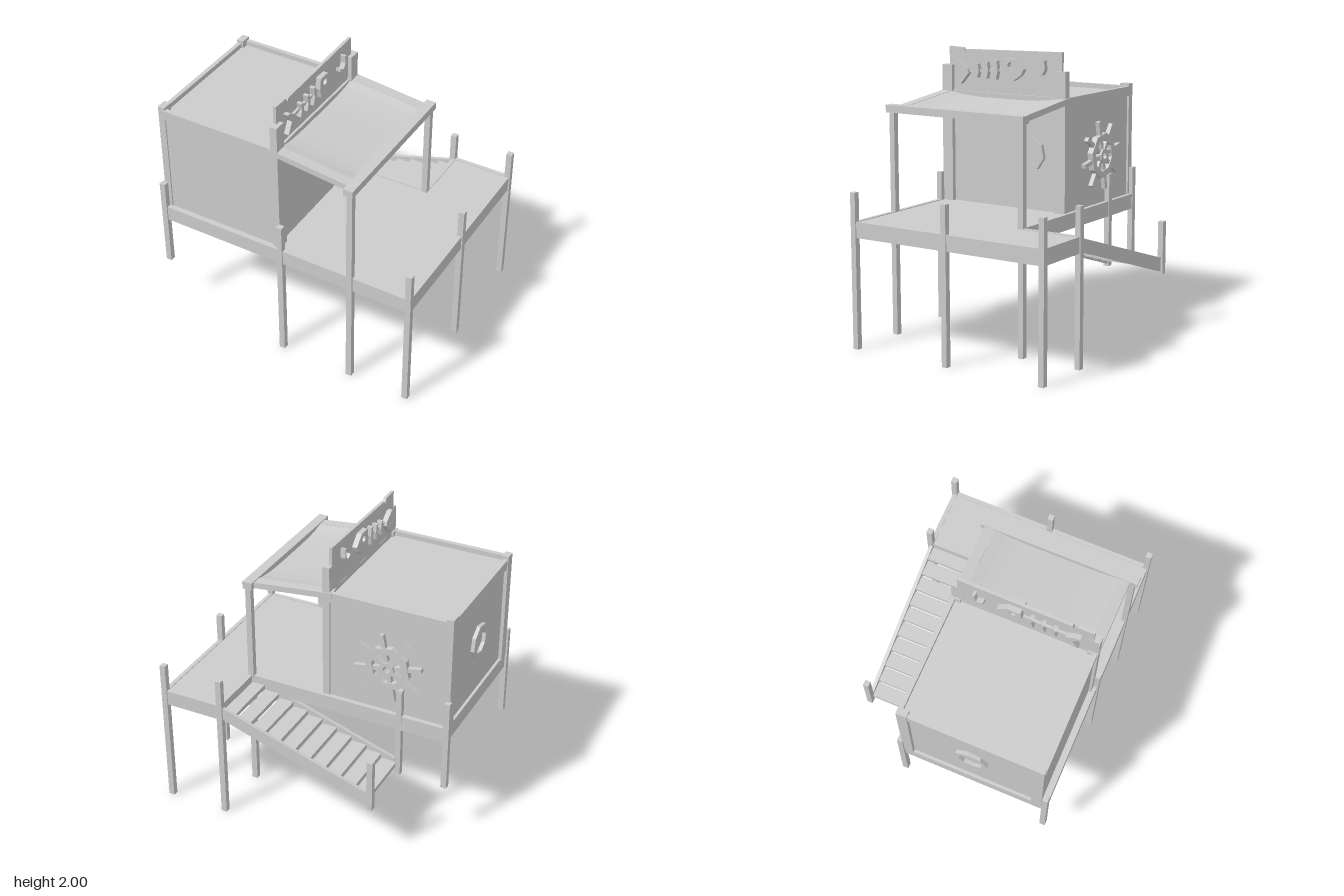
import * as THREE from 'three';

const material = new THREE.MeshStandardMaterial({ color: 0xcccccc, flatShading: true, side: THREE.DoubleSide });

export function createModel() {
  const root = new THREE.Group();

  function add(name, geometry, parent = root) {
    const mesh = new THREE.Mesh(geometry, material);
    mesh.name = name;
    parent.add(mesh);
    return mesh;
  }
  function group(name) {
    const g = new THREE.Group();
    g.name = name;
    root.add(g);
    return g;
  }
  // Box given by its limits on each axis
  function box(name, x0, x1, y0, y1, z0, z1, parent) {
    const m = add(name, new THREE.BoxGeometry(x1 - x0, y1 - y0, z1 - z0), parent);
    m.position.set((x0 + x1) / 2, (y0 + y1) / 2, (z0 + z1) / 2);
    return m;
  }
  const shapeOf = pts => new THREE.Shape(pts.map(p => new THREE.Vector2(p[0], p[1])));
  const polygon = (r, n, cx = 0, cy = 0, turn = 0.5) => Array.from({ length: n }, (_, i) => {
    const a = ((i + turn) / n) * Math.PI * 2;
    return [cx + r * Math.cos(a), cy + r * Math.sin(a)];
  });
  function extrude(shape, depth) {
    const g = new THREE.ExtrudeGeometry(shape, { depth, bevelEnabled: false });
    return g.translate(0, 0, -depth / 2);
  }
  // Turns an XY outline so that its x runs along z
  const sideways = g => g.rotateY(-Math.PI / 2);
  function ring(outer, inner, depth, turn) {
    const s = shapeOf(polygon(outer, 8, 0, 0, turn));
    s.holes.push(new THREE.Path(shapeOf(polygon(inner, 8, 0, 0, turn)).getPoints()));
    return extrude(s, depth);
  }

  // Deck: L-shaped floor with edge beams
  const deck = group('deck');
  box('mainFloor', -0.95, 0.95, 0.8, 0.885, -0.32, 0.74, deck);
  box('rearFloor', 0.53, 0.95, 0.8, 0.885, -0.76, -0.32, deck);
  const rims = [
    [-0.96, 0.96, 0.72, 0.75], [-0.965, -0.935, -0.33, 0.75], [0.935, 0.965, -0.77, 0.75],
    [-0.96, 0.54, -0.335, -0.305], [0.51, 0.54, -0.77, -0.32], [0.51, 0.96, -0.775, -0.745],
  ];
  for (const [x0, x1, z0, z1] of rims) box('edgeBeam', x0, x1, 0.78, 0.89, z0, z1, deck);

  // Posts: x, z, bottom, top
  const posts = group('posts');
  const postList = [
    [-0.96, 0.74, 0.41, 1.09], [-0.02, 0.74, 0, 1.09], [0.953, 0.74, 0, 1.09],
    [0.953, -0.01, 0, 1.09], [0.953, -0.762, 0, 1.09], [0.517, -0.762, 0, 1.09],
    [0.517, 0.74, 0, 1.6], [0.517, -0.32, 0, 1.6], [-0.96, -0.32, 0.41, 1.09],
    [-0.615, -0.762, 0.41, 0.79], [-0.615, -0.32, 0.41, 1.09],
  ];
  for (const [x, z, y0, y1] of postList) {
    box('post', x - 0.021, x + 0.021, y0, y1, z - 0.02, z + 0.02, posts);
  }

  // Stairs along the back, treads running from stringer to stringer
  const stairs = group('stairs');
  const slope = 0.324;
  for (const z of [-0.322, -0.757]) {
    const s = shapeOf([[-0.59, 0.43], [0.515, 0.788], [0.515, 0.88], [-0.59, 0.53]]);
    add('stringer', extrude(s, 0.025), stairs).position.z = z;
  }
  for (let i = 0; i < 10; i++) {
    const x = -0.55 + i * 0.113, y = 0.49 + slope * (x + 0.55);
    box('tread', x - 0.055, x + 0.055, y - 0.015, y + 0.015, -0.75, -0.325, stairs);
  }

  // Cabin: walls, corner posts, raised roof edge
  const cabin = group('cabin');
  box('walls', -0.945, -0.065, 0.885, 1.655, -0.295, 0.705, cabin);
  for (const z of [-0.27, 0.68]) {
    box('outerCornerPost', -0.97, -0.92, 0.88, 1.71, z - 0.04, z + 0.035, cabin);
    box('innerCornerPost', -0.085, -0.033, 0.88, 1.87, z - 0.04, z + 0.045, cabin);
  }
  box('frontRoofBeam', -0.95, -0.05, 1.62, 1.69, 0.685, 0.72, cabin);
  box('backRoofBeam', -0.95, -0.05, 1.62, 1.69, -0.31, -0.28, cabin);
  box('outerRoofBeam', -0.965, -0.935, 1.62, 1.69, -0.3, 0.7, cabin);
  box('innerRoofBeam', -0.085, -0.045, 1.62, 1.69, -0.3, 0.7, cabin);

  // Portholes on both side walls
  for (const [x, z] of [[-0.055, -0.01], [-0.953, 0.2]]) {
    add('porthole', sideways(ring(0.125, 0.088, 0.036, 0.25)), cabin).position.set(x, 1.285, z);
  }

  // Ship's wheel on the back wall
  const wheel = group('wheel');
  wheel.position.set(-0.52, 1.235, -0.315);
  wheel.rotation.z = -0.19;
  add('wheelRim', ring(0.165, 0.115, 0.045, 0.5), wheel);
  add('wheelHub', ring(0.055, 0.025, 0.06, 0.5), wheel);
  for (let i = 0; i < 8; i++) {
    const spoke = new THREE.Group();
    spoke.rotation.z = (i * Math.PI) / 4;
    wheel.add(spoke);
    box('spoke', 0.045, 0.25, -0.015, 0.015, -0.016, 0.016, spoke);
  }

  // Sloping awning over the deck: beams with a sheet sagging between them
  const awning = group('awning');
  const slant = shapeOf([[-0.1, 1.65], [0.53, 1.58], [0.53, 1.622], [-0.1, 1.692]]);
  for (const z of [-0.28, 0.69]) {
    add('awningBeam', extrude(slant, 0.075), awning).position.z = z;
  }
  box('awningFrontBeam', 0.482, 0.552, 1.583, 1.635, -0.35, 0.78, awning);
  const sheet = new THREE.PlaneGeometry(0.58, 0.9, 8, 12).rotateX(-Math.PI / 2).translate(0.21, 0, 0.205);
  const p = sheet.attributes.position;
  for (let i = 0; i < p.count; i++) {
    const v = (p.getZ(i) - 0.205) / 0.45;
    p.setY(i, 1.69 - (p.getX(i) + 0.1) * 0.111 - 0.03 * (1 - v ** 4));
  }
  sheet.computeVertexNormals();
  add('awningSheet', sheet, awning);

  // Sign board with a nick in its top edge
  const sign = group('sign');
  sign.position.x = -0.073;
  const board = shapeOf([[-0.265, 1.68], [0.68, 1.68], [0.68, 2], [0.56, 1.995],
    [0.54, 1.96], [0.53, 1.985], [-0.265, 2]]);
  add('signBoard', sideways(extrude(board, 0.022)), sign);

  // Fish skeleton and hook, raised on both faces
  const raised = (name, shape, depth = 0.095) => add(name, sideways(extrude(shape, depth)), sign);
  const head = shapeOf([[0.19, 1.94], [0.1, 1.94], [0.025, 1.87], [0.045, 1.83],
    [0.11, 1.785], [0.185, 1.79], [0.2, 1.86]]);
  head.holes.push(new THREE.Path(shapeOf(polygon(0.024, 8, 0.135, 1.89)).getPoints()));
  raised('fishHead', head);
  raised('fishTail', shapeOf([[0.6, 1.9], [0.57, 1.9], [0.5, 1.85], [0.49, 1.82],
    [0.56, 1.74], [0.595, 1.745], [0.55, 1.825]]));
  raised('fishSpine', shapeOf([[0.5, 1.825], [0.5, 1.845], [0.19, 1.865], [0.19, 1.845]]), 0.06);
  [[0.42, 0.05], [0.34, 0.058], [0.26, 0.066]].forEach(([z, h], i) => {
    const y = 1.84 + i * 0.006;
    raised('fishRib', shapeOf([[z + 0.018, y + h], [z - 0.008, y + h], [z - 0.018, y],
      [z - 0.004, y - h], [z + 0.022, y - h], [z + 0.006, y]]));
  });
  raised('hook', shapeOf([[-0.125, 1.94], [-0.143, 1.94], [-0.148, 1.875], [-0.128, 1.84],
    [-0.095, 1.83], [-0.065, 1.85], [-0.068, 1.875], [-0.095, 1.853], [-0.118, 1.858], [-0.13, 1.885]]));

  return root;
}
